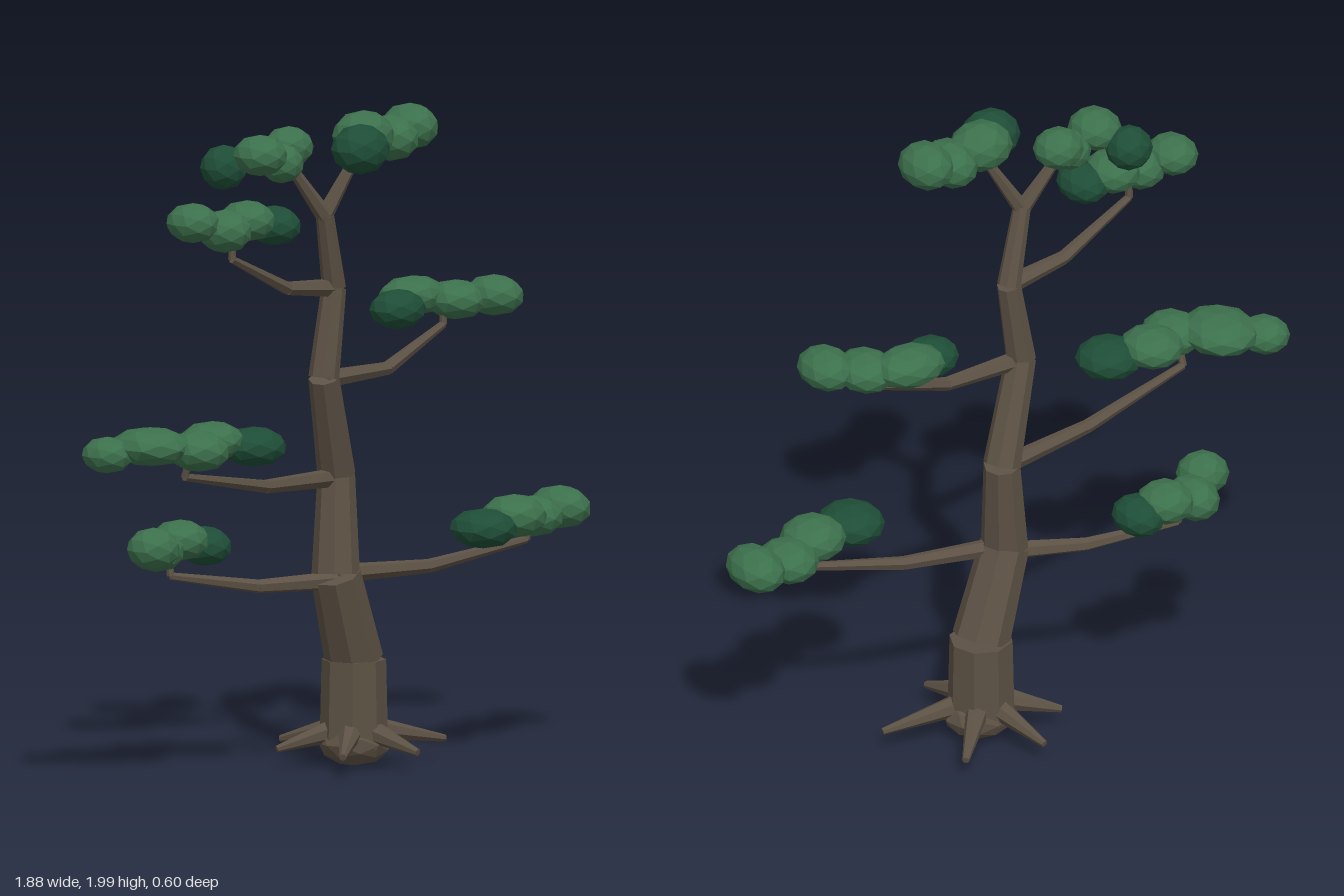
import * as THREE from 'three';

export function createModel() {
  const flat = (name, color) => {
    const m = new THREE.MeshStandardMaterial({ color, flatShading: true });
    m.name = name;
    return m;
  };
  const bark = flat('bark brown', 0x5c5144);
  const leaf = flat('leaf green', 0x3c704c);
  const leafDark = flat('dark leaf green', 0x1e4d37);

  const tree = new THREE.Group();
  tree.name = 'tree';
  const up = new THREE.Vector3(0, 1, 0);

  // Tapered straight piece of wood between two points
  function limb(parent, name, from, to, r0, r1, sides) {
    const a = new THREE.Vector3(...from);
    const dir = new THREE.Vector3(...to).sub(a);
    const geo = new THREE.CylinderGeometry(r1, r0, dir.length(), sides);
    const mesh = new THREE.Mesh(geo, bark);
    mesh.name = name;
    mesh.position.copy(a).addScaledVector(dir, 0.5);
    mesh.quaternion.setFromUnitVectors(up, dir.normalize());
    parent.add(mesh);
  }

  // Faceted ellipsoid
  function blob(parent, name, pos, radii, material) {
    const mesh = new THREE.Mesh(new THREE.IcosahedronGeometry(1, 1), material);
    mesh.name = name;
    mesh.position.set(...pos);
    mesh.scale.set(...radii);
    parent.add(mesh);
  }

  function group(name) {
    const g = new THREE.Group();
    g.name = name;
    tree.add(g);
    return g;
  }

  // Trunk: stacked tapered segments that swing from side to side
  const trunk = group('trunk');
  const path = [
    [0.145, 0.07, -0.035], [0.145, 0.33, -0.035], [0.04, 0.6, 0], [0.065, 0.895, -0.025],
    [-0.04, 1.2, 0.035], [0.005, 1.465, 0.03], [-0.06, 1.7, 0.06],
  ];
  const girth = [[0.102, 0.096], [0.088, 0.075], [0.072, 0.056], [0.057, 0.046], [0.046, 0.037], [0.036, 0.027]];
  girth.forEach(([r0, r1], i) => limb(trunk, 'trunkSegment', path[i], path[i + 1], r0, r1, 8));
  blob(trunk, 'rootBall', [0.15, 0.08, -0.035], [0.115, 0.07, 0.105], bark);

  // Roots spreading around the foot
  const roots = group('roots');
  const rootSpread = [[13, 0.31], [80, 0.24], [140, 0.25], [205, 0.24], [256, 0.26], [312, 0.28]];
  for (const [deg, reach] of rootSpread) {
    const c = Math.cos(deg * Math.PI / 180), s = Math.sin(deg * Math.PI / 180);
    limb(roots, 'root', [0.145 + 0.08 * c, 0.115, -0.035 + 0.08 * s],
      [0.145 + reach * c, 0.07, -0.035 + reach * s], 0.034, 0.011, 7);
  }

  // Branches: each bends along its points and thins out
  const branches = group('branches');
  const branchPaths = [
    [[0.04, 0.58, 0], [-0.19, 0.575, -0.09], [-0.45, 0.62, -0.19], [-0.45, 0.69, -0.2]],
    [[0.04, 0.6, 0], [0.35, 0.6, 0.07], [0.68, 0.655, 0.14], [0.68, 0.7, 0.14]],
    [[0.06, 0.885, -0.02], [-0.27, 0.895, 0.03], [-0.64, 0.965, 0.08], [-0.64, 1.03, 0.1]],
    [[-0.04, 1.195, 0.035], [0.23, 1.2, 0.02], [0.5, 1.3, -0.03], [0.5, 1.36, -0.03]],
    [[0, 1.465, 0.03], [-0.2, 1.485, 0.05], [-0.45, 1.6, 0.08], [-0.45, 1.68, 0.08]],
  ];
  const thickness = [0.029, 0.021, 0.012, 0.009];
  for (const pts of branchPaths) {
    for (let i = 0; i < 3; i++) {
      limb(branches, 'branch', pts[i], pts[i + 1], thickness[i], thickness[i + 1], 6);
    }
  }
  // Fork at the top
  limb(branches, 'leftFork', [-0.06, 1.69, 0.06], [-0.18, 1.85, 0.04], 0.026, 0.015, 6);
  limb(branches, 'rightFork', [-0.06, 1.69, 0.06], [0.045, 1.87, 0.09], 0.026, 0.015, 6);

  // Foliage pads: the first clump of each pad is the dark one; x, y, z, then radii
  const pads = {
    lowerRightPad: [
      [-0.3, 0.695, -0.205, 0.075, 0.06, 0.09], [-0.39, 0.72, -0.215, 0.088, 0.062, 0.09],
      [-0.49, 0.7, -0.21, 0.075, 0.065, 0.095], [-0.575, 0.72, -0.13, 0.08, 0.065, 0.08]],
    lowerLeftPad: [
      [0.46, 0.715, 0.19, 0.1, 0.06, 0.105], [0.62, 0.732, 0.15, 0.1, 0.066, 0.1],
      [0.74, 0.715, 0.1, 0.09, 0.062, 0.1], [0.86, 0.73, 0.09, 0.08, 0.065, 0.11]],
    middleRightPad: [
      [-0.41, 1.04, 0.13, 0.1, 0.06, 0.1], [-0.53, 1.065, 0.08, 0.095, 0.058, 0.1],
      [-0.64, 1.05, 0.14, 0.09, 0.062, 0.1], [-0.75, 1.065, 0.05, 0.115, 0.058, 0.13],
      [-0.87, 1.045, -0.01, 0.075, 0.055, 0.08]],
    middleLeftPad: [
      [0.335, 1.36, -0.05, 0.09, 0.06, 0.08], [0.44, 1.385, -0.1, 0.115, 0.06, 0.088],
      [0.55, 1.37, -0.03, 0.09, 0.06, 0.1], [0.65, 1.38, 0.03, 0.082, 0.062, 0.1]],
    upperRightPad: [
      [-0.3, 1.69, 0.1, 0.075, 0.06, 0.09], [-0.39, 1.71, 0.08, 0.085, 0.062, 0.09],
      [-0.49, 1.69, 0.09, 0.077, 0.065, 0.09], [-0.585, 1.72, 0.055, 0.077, 0.06, 0.085]],
    crownRightPad: [
      [-0.37, 1.855, -0.045, 0.072, 0.068, 0.07], [-0.31, 1.895, 0.05, 0.08, 0.062, 0.085],
      [-0.21, 1.86, 0.035, 0.065, 0.06, 0.07], [-0.15, 1.9, 0, 0.077, 0.062, 0.075]],
    crownLeftPad: [
      [-0.025, 1.9, 0.18, 0.092, 0.076, 0.085], [0.06, 1.925, 0.1, 0.098, 0.075, 0.09],
      [0.175, 1.905, 0.09, 0.078, 0.07, 0.1], [0.265, 1.93, 0.08, 0.08, 0.07, 0.095]],
  };
  for (const [name, clumps] of Object.entries(pads)) {
    const pad = group(name);
    clumps.forEach(([x, y, z, ...radii], i) =>
      blob(pad, i ? 'leafClump' : 'darkLeafClump', [x, y, z], radii, i ? leaf : leafDark));
  }
  return tree;
}
